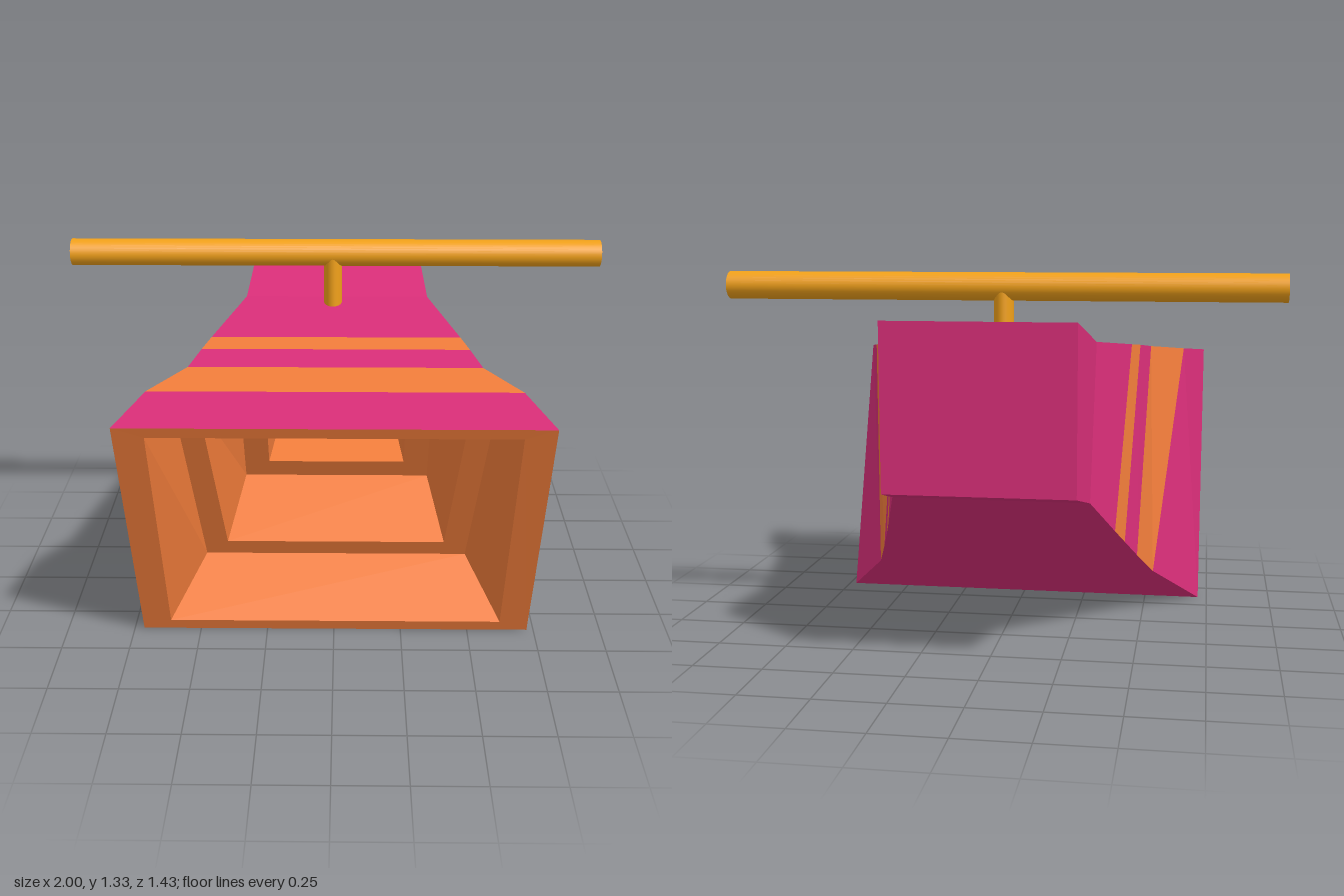
import * as THREE from 'three';

const magenta = new THREE.MeshStandardMaterial({ color: 0xd82e78, flatShading: true });
const orange = new THREE.MeshStandardMaterial({ color: 0xf07c3a, flatShading: true });
const gold = new THREE.MeshStandardMaterial({ color: 0xf0a01a });

// Four corners of a cross-section: top left, top right, bottom right, bottom left
const corners = ([yT, zT, wT, yB, zB, wB]) => [[-wT, yT, zT], [wT, yT, zT], [wB, yB, zB], [-wB, yB, zB]];

// Quad between two sections on side k (0 top, 1 and 2 and 3 going round)
function sideQuad(a, b, k) {
  const A = corners(a), B = corners(b), n = (k + 1) % 4;
  return [A[k], A[n], B[n], B[k]];
}

function quadMesh(name, quads, material) {
  const pos = [];
  for (const [a, b, c, d] of quads) pos.push(...a, ...b, ...c, ...a, ...c, ...d);
  const geo = new THREE.BufferGeometry();
  geo.setAttribute('position', new THREE.Float32BufferAttribute(pos, 3));
  geo.computeVertexNormals();
  const mesh = new THREE.Mesh(geo, material);
  mesh.name = name;
  mesh.position.x = 0.005;
  return mesh;
}

function rod(name, length, sx, sz, material) {
  const geo = new THREE.CylinderGeometry(1, 1, length, 32);
  geo.scale(sx, 1, sz);
  const mesh = new THREE.Mesh(geo, material);
  mesh.name = name;
  return mesh;
}

export function createModel() {
  const group = new THREE.Group();

  // Outer sections, front to back: top y, z, half width, then bottom y, z, half width
  const shell = [
    [0.985, 0.715, 0.72, 0, 0.362, 0.72],
    [1.01, 0.465, 0.64, 0.17, 0.11, 0.545],
    [1.032, 0.295, 0.515, 0.27, -0.043, 0.49],
    [1.048, 0.16, 0.48, 0.348, -0.158, 0.45],
    [1.058, 0.062, 0.453, 0.408, -0.25, 0.42],
    [1.095, -0.295, 0.35, 0.555, -0.472, 0.348],
    [1.19, -0.718, 0.326, 0.615, -0.715, 0.326],
  ];
  const body = [], stripes = [];
  for (let i = 0; i < shell.length - 1; i++) {
    const striped = i === 1 || i === 3;
    for (let k = 0; k < 4; k++) {
      (striped && k !== 2 ? stripes : body).push(sideQuad(shell[i], shell[i + 1], k));
    }
  }
  body.push(corners(shell[shell.length - 1]));
  group.add(quadMesh('bodyShell', body, magenta), quadMesh('stripes', stripes, orange));

  // Stepped hollow: each step lies in a leaning plane z = z0 + slope * y
  const step = (z0, slope, yT, wT, yB, wB) => [yT, z0 + slope * yT, wT, yB, z0 + slope * yB, wB];
  const hollow = [
    shell[0],
    step(0.362, 0.358, 0.945, 0.615, 0.045, 0.615),
    step(0.038, 0.42, 0.945, 0.555, 0.185, 0.5),
    step(0.038, 0.42, 0.944, 0.47, 0.253, 0.415),
    step(-0.317, 0.455, 0.944, 0.36, 0.4, 0.36),
    step(-0.317, 0.455, 0.92, 0.265, 0.477, 0.265),
    step(-0.64, 0.33, 0.92, 0.215, 0.59, 0.215),
    step(-0.64, 0.33, 0.905, 0.155, 0.64, 0.155),
    step(-0.6, 0, 0.905, 0.155, 0.69, 0.155),
  ];
  const inner = [];
  for (let i = 0; i < hollow.length - 1; i++) {
    for (let k = 0; k < 4; k++) inner.push(sideQuad(hollow[i], hollow[i + 1], k).reverse());
  }
  inner.push(corners(hollow[hollow.length - 1]).reverse());
  group.add(quadMesh('steppedHollow', inner, orange));

  // Crossbar on a short post
  const bar = rod('crossbar', 2, 0.05, 0.055, gold);
  bar.rotation.z = Math.PI / 2;
  bar.position.set(0, 1.284, -0.254);
  const post = rod('post', 0.22, 0.035, 0.052, gold);
  post.position.set(-0.01, 1.17, -0.253);
  group.add(bar, post);

  return group;
}
